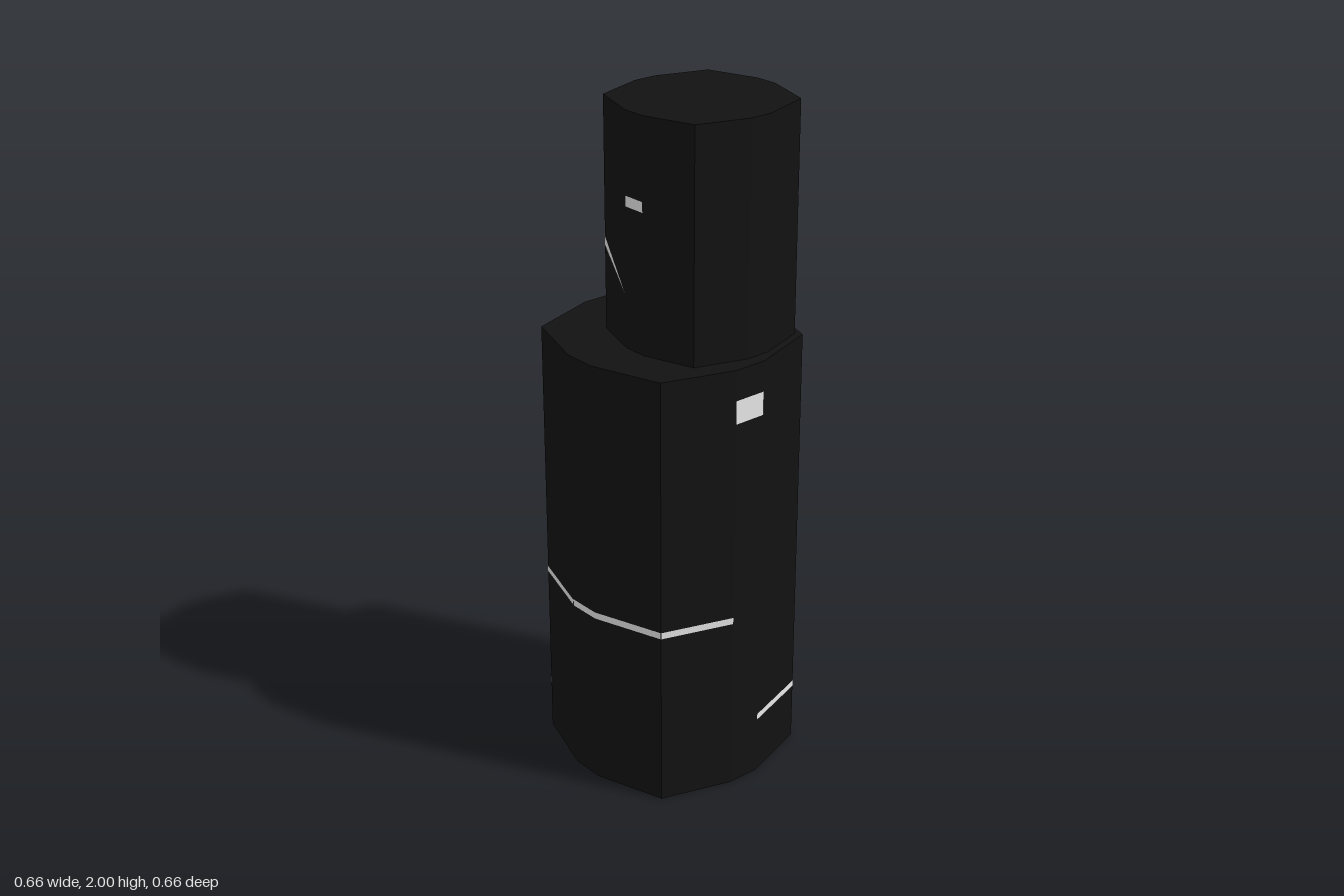
import * as THREE from 'three';

const dark = new THREE.MeshStandardMaterial({ color: 0x121212, side: THREE.DoubleSide });
dark.name = 'charcoalWall';
const light = new THREE.MeshStandardMaterial({ color: 0xe8e8e8, side: THREE.DoubleSide });
light.name = 'paleWindow';

// Twelve-sided plan, starting at the front and running towards +x
const PLAN = [[0.05, 0.328], [0.26, 0.26], [0.328, 0.05], [0.328, -0.05], [0.26, -0.26], [0.05, -0.328],
  [-0.05, -0.328], [-0.26, -0.26], [-0.328, -0.05], [-0.328, 0.05], [-0.26, 0.26], [-0.05, 0.328]];
const ring = (s, cx, cz) => PLAN.map(([x, z]) => new THREE.Vector2(cx + x * s, cz + z * s));

// Flat-shaded geometry from four-cornered faces
function quads(list) {
  const pos = [];
  for (const [a, b, c, d] of list) for (const p of [a, b, c, a, c, d]) pos.push(...p);
  const g = new THREE.BufferGeometry();
  g.setAttribute('position', new THREE.Float32BufferAttribute(pos, 3));
  g.computeVertexNormals();
  return g;
}

function add(group, name, geometry, material) {
  const mesh = new THREE.Mesh(geometry, material);
  mesh.name = name;
  group.add(mesh);
}

// One storey: open-bottomed walls with a flat roof
function storey(name, pts, y0, y1) {
  const group = new THREE.Group();
  group.name = name;
  const walls = pts.map((a, i) => {
    const b = pts[(i + 1) % pts.length];
    return [[a.x, y0, a.y], [b.x, y0, b.y], [b.x, y1, b.y], [a.x, y1, a.y]];
  });
  add(group, name + 'Walls', quads(walls), dark);
  const roof = new THREE.ShapeGeometry(new THREE.Shape(pts.map(p => new THREE.Vector2(p.x, -p.y))));
  roof.rotateX(-Math.PI / 2).translate(0, y1, 0);
  add(group, name + 'Roof', roof, dark);
  return group;
}

// Thin pane on both faces of wall i, between fractions t0 and t1;
// start and end each give [bottom, top]
function pane(group, name, pts, i, start, end = start, t0 = 0, t1 = 1) {
  const p = pts[i], q = pts[(i + 1) % pts.length];
  const a = p.clone().lerp(q, t0), b = p.clone().lerp(q, t1);
  const n = new THREE.Vector2(-(q.y - p.y), q.x - p.x).normalize().multiplyScalar(0.002);
  const face = k => [
    [a.x + n.x * k, start[0], a.y + n.y * k], [b.x + n.x * k, end[0], b.y + n.y * k],
    [b.x + n.x * k, end[1], b.y + n.y * k], [a.x + n.x * k, start[1], a.y + n.y * k]];
  add(group, name, quads([face(1), face(-1).reverse()]), light);
}

export function createModel() {
  const model = new THREE.Group();
  model.name = 'tower';

  const lower = ring(1, 0, 0);
  const upper = ring(0.72, 0.053, -0.061);
  const body = storey('lowerBody', lower, 0, 1.325);
  const top = storey('upperTower', upper, 1.325, 2);
  model.add(body, top);

  // Long strips wrapping the lower body
  for (const i of [10, 11, 0, 1]) pane(body, 'frontStrip', lower, i, [0.54, 0.56]);
  for (const i of [3, 4]) pane(body, 'backStrip', lower, i, [0.175, 0.195]);
  pane(body, 'lowStrip', lower, 9, [0.15, 0.168]);

  // Lower body windows
  pane(body, 'sideWindow', lower, 2, [1.165, 1.235]);
  pane(body, 'largeWindow', lower, 7, [0.59, 0.73]);
  pane(body, 'smallWindow', lower, 8, [0.25, 0.28]);
  pane(body, 'tinyWindow', lower, 9, [0.64, 0.67], undefined, 0.2, 0.4);

  // Upper tower windows, with one tapering diagonal strip
  pane(top, 'upperWindow', upper, 11, [1.735, 1.765]);
  pane(top, 'upperStrip', upper, 9, [1.575, 1.605]);
  pane(top, 'diagonalStrip', upper, 10, [1.575, 1.605], [1.482, 1.486], 0, 0.95);
  for (const y of [1.67, 1.735]) pane(top, 'rearLine', upper, 4, [y - 0.003, y + 0.003]);

  return model;
}
